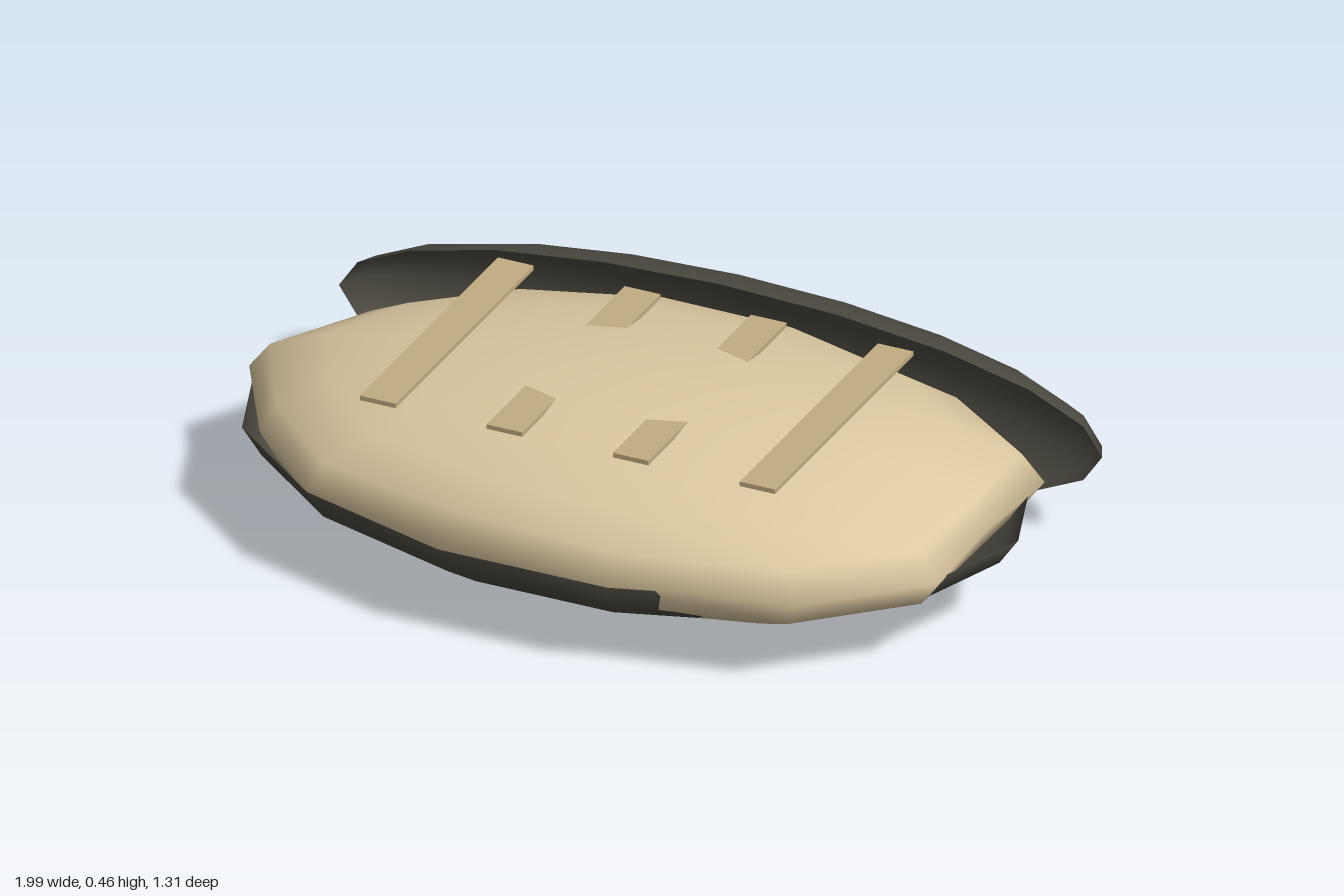
import * as THREE from 'three';
import { mergeVertices } from 'three/addons/utils/BufferGeometryUtils.js';

const MID = 0.235; // height of the widest section
const CZ = 0.03; // depth centre of the body

function material(color, side = THREE.FrontSide) {
  return new THREE.MeshStandardMaterial({ color, side });
}

function add(parent, name, geometry, mat) {
  const mesh = new THREE.Mesh(geometry, mat);
  mesh.name = name;
  parent.add(mesh);
  return mesh;
}

// Squashed ball whose waist follows an uneven 14-sided outline
function bodyGeometry() {
  const outline = [
    [-1, 0.03], [-0.84, 0.31], [-0.61, 0.53], [-0.2, 0.61], [0.22, 0.64],
    [0.66, 0.55], [0.91, 0.31], [0.9, 0.03], [0.92, -0.25], [0.65, -0.44],
    [0.2, -0.57], [-0.2, -0.58], [-0.6, -0.44], [-0.84, -0.23],
  ];
  const rings = 10;
  const sides = outline.length;
  let geo = new THREE.SphereGeometry(1, sides, rings);
  const pos = geo.attributes.position;
  for (let r = 0; r <= rings; r++) {
    const theta = (r / rings) * Math.PI;
    const s = Math.sin(theta);
    const uneven = s ** 3; // the poles stay regular
    for (let i = 0; i <= sides; i++) {
      const phi = (i / sides) * Math.PI * 2;
      const [ox, oz] = outline[i % sides];
      const x = THREE.MathUtils.lerp(-Math.cos(phi) * 0.97, ox, uneven);
      const z = THREE.MathUtils.lerp(Math.sin(phi) * 0.63, oz - CZ, uneven);
      pos.setXYZ(r * (sides + 1) + i, x * s, MID + 0.225 * Math.cos(theta), CZ + z * s);
    }
  }
  geo.deleteAttribute('uv');
  geo.deleteAttribute('normal');
  geo = mergeVertices(geo);
  geo.computeVertexNormals();
  return geo;
}

export function createModel() {
  const model = new THREE.Group();
  model.name = 'slattedBoat';

  const dark = material(0x4a483f, THREE.DoubleSide);
  const tan = material(0xdcc8a0);
  const wood = material(0xc2ac82);

  // Lower shell: open half of a flattened ball
  const hull = new THREE.SphereGeometry(1, 14, 5, 0, Math.PI * 2, Math.PI / 2, Math.PI / 2);
  hull.scale(0.985, 0.225, 0.636);
  hull.translate(0, 0.232, CZ);
  add(model, 'hull', hull, dark);

  // Pale rounded body resting in the shell
  add(model, 'body', bodyGeometry(), tan);

  // Wide bowl closing the back, open towards the front
  const bowl = new THREE.SphereGeometry(1, 20, 7, 0, Math.PI * 2, 0, Math.PI / 2);
  bowl.rotateX(-Math.PI / 2);
  bowl.scale(0.985, 0.23, 0.23);
  bowl.translate(0, 0.23, -0.425);
  add(model, 'backBowl', bowl, dark);

  // Four slats running front to back across the top
  const slats = new THREE.Group();
  slats.name = 'slats';
  for (const x of [-0.49, -0.163, 0.163, 0.49]) {
    const slat = add(slats, 'slat', new THREE.BoxGeometry(0.092, 0.012, 0.75), wood);
    slat.position.set(x, 0.44, CZ);
  }
  model.add(slats);

  return model;
}
